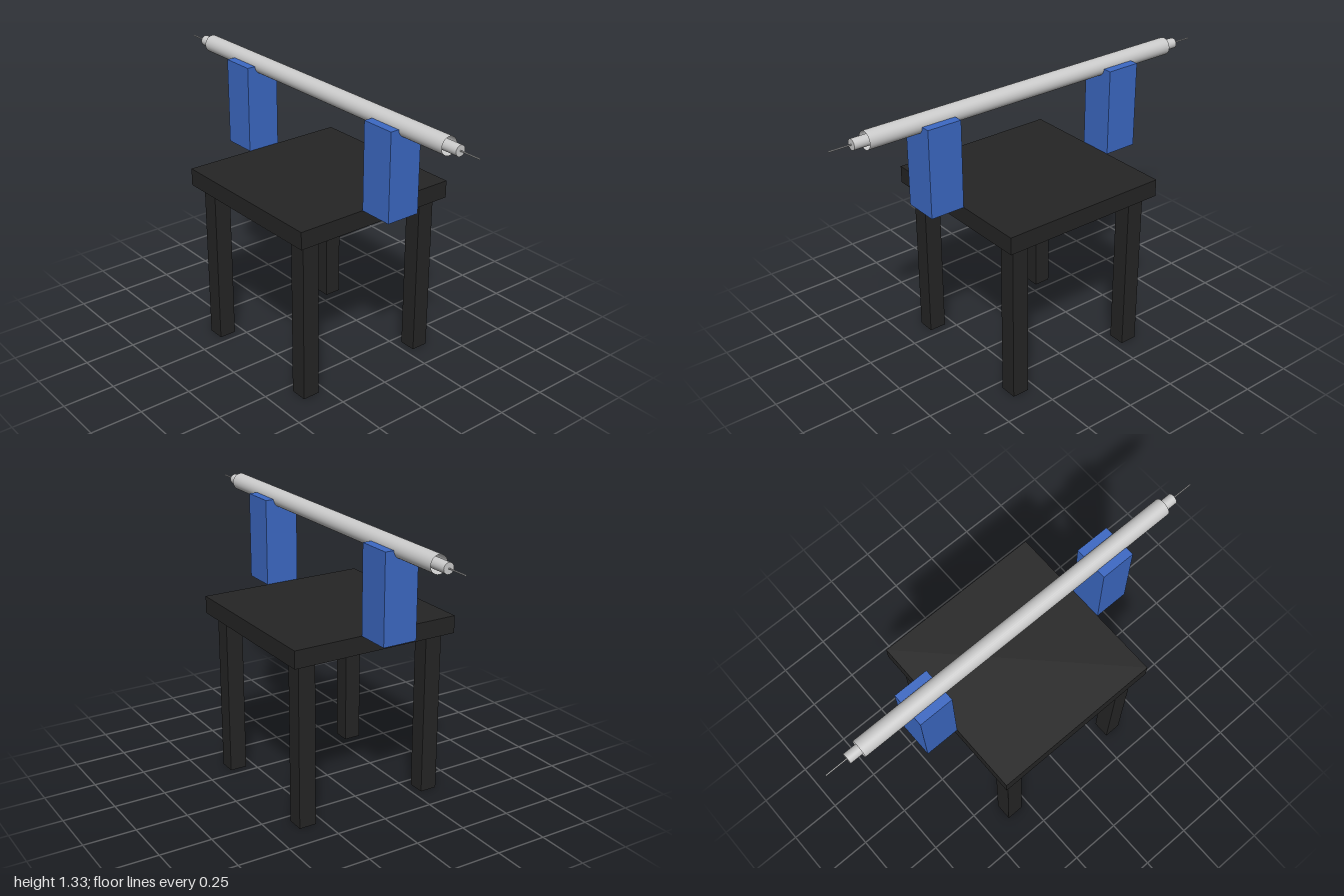
import * as THREE from 'three';

const U = 1 / 12; // base module: leg and table top thickness

export function createModel() {
  const model = new THREE.Group();
  const black = new THREE.MeshStandardMaterial({ color: 0x252525 });
  const blue = new THREE.MeshStandardMaterial({ color: 0x3c69c4 });
  const grey = new THREE.MeshStandardMaterial({ color: 0xcccccc });
  const greyOpen = new THREE.MeshStandardMaterial({ color: 0xcccccc, side: THREE.DoubleSide });

  const add = (name, geometry, material, x, y, z) => {
    const mesh = new THREE.Mesh(geometry, material);
    mesh.name = name;
    mesh.position.set(x, y, z);
    model.add(mesh);
  };

  // Table: square top on four square legs
  const legHeight = 9.5 * U;
  add('tableTop', new THREE.BoxGeometry(10 * U, U, 10 * U), black, 0, legHeight + U / 2, 0);
  for (const x of [-1, 1]) {
    for (const z of [-1, 1]) {
      const name = (z > 0 ? 'front' : 'back') + (x > 0 ? 'Left' : 'Right') + 'Leg';
      add(name, new THREE.BoxGeometry(U, legHeight, U), black, x * 4 * U, legHeight / 2, z * 4 * U);
    }
  }

  // Support blocks flush with the front and back edges of the top
  const blockBase = legHeight + U;
  const blockHeight = 5 * U;
  for (const z of [-1, 1]) {
    add(z > 0 ? 'frontSupport' : 'backSupport', new THREE.BoxGeometry(2 * U, blockHeight, 2 * U),
      blue, 0, blockBase + blockHeight / 2, z * 6 * U);
  }

  // Concentric bar along z: open sleeve, inner rod and thin wire
  const axisY = blockBase + blockHeight;
  const bar = (name, radius, length, open) => add(name,
    new THREE.CylinderGeometry(radius, radius, length, 32, 1, open).rotateX(Math.PI / 2),
    open ? greyOpen : grey, 0, axisY, 0);
  bar('outerTube', U / 2, 20 * U, true);
  bar('innerRod', 0.025, 1.79, false);
  bar('centreWire', 0.003, 2, false);

  return model;
}
